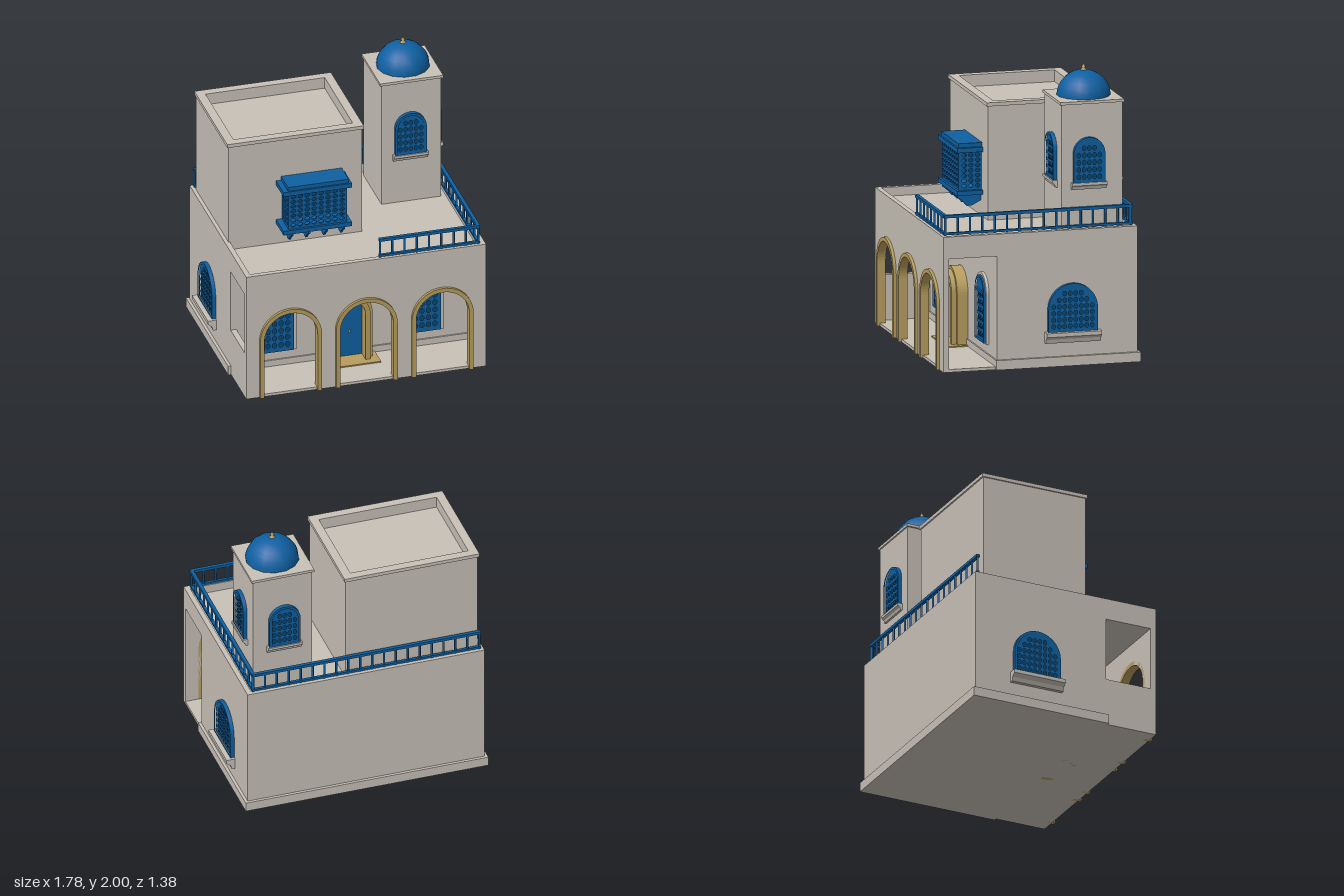
import * as THREE from 'three';

const plaster = new THREE.MeshStandardMaterial({ name: 'plaster', color: 0xc8c1b8 });
const blue = new THREE.MeshStandardMaterial({ name: 'bluePaint', color: 0x0f60a2 });
const deepBlue = new THREE.MeshStandardMaterial({ name: 'deepBlue', color: 0x0b456f });
const gold = new THREE.MeshStandardMaterial({ name: 'sandstone', color: 0xb89e5e });

function add(parent, name, geometry, material) {
  const mesh = new THREE.Mesh(geometry, material);
  mesh.name = name;
  parent.add(mesh);
  return mesh;
}

// Box given by its limits on each axis
function box(parent, name, mat, x0, x1, y0, y1, z0, z1) {
  const g = new THREE.BoxGeometry(x1 - x0, y1 - y0, z1 - z0);
  g.translate((x0 + x1) / 2, (y0 + y1) / 2, (z0 + z1) / 2);
  return add(parent, name, g, mat);
}

// Shape in the xy plane, thickened from z0 to z1
function plate(parent, name, mat, shape, z0, z1) {
  const g = new THREE.ExtrudeGeometry(shape, { depth: z1 - z0, bevelEnabled: false, curveSegments: 14 });
  g.translate(0, 0, z0);
  return add(parent, name, g, mat);
}

// Side profile (outward, up) stretched along x about cx
function molding(parent, name, mat, points, cx, width) {
  const shape = new THREE.Shape(points.map(p => new THREE.Vector2(...p)));
  const g = new THREE.ExtrudeGeometry(shape, { depth: width, bevelEnabled: false });
  g.translate(0, 0, -width / 2).rotateY(-Math.PI / 2).translate(cx, 0, 0);
  return add(parent, name, g, mat);
}

function arch(path, cx, y0, r, spring) {
  path.moveTo(cx - r, y0);
  path.lineTo(cx - r, spring);
  path.absarc(cx, spring, r, Math.PI, 0, true);
  path.lineTo(cx + r, y0);
  path.closePath();
  return path;
}

// Arch band with open foot
function archBand(cx, y0, ro, ri, spring) {
  const s = new THREE.Shape();
  s.moveTo(cx - ro, y0);
  s.lineTo(cx - ro, spring);
  s.absarc(cx, spring, ro, Math.PI, 0, true);
  s.lineTo(cx + ro, y0);
  s.lineTo(cx + ri, y0);
  s.lineTo(cx + ri, spring);
  s.absarc(cx, spring, ri, 0, Math.PI, false);
  s.lineTo(cx - ri, y0);
  s.closePath();
  return s;
}

function rectPath(path, x0, x1, y0, y1) {
  path.moveTo(x0, y0);
  path.lineTo(x1, y0);
  path.lineTo(x1, y1);
  path.lineTo(x0, y1);
  path.closePath();
  return path;
}

// Horizontal rectangular ring, for parapets and rims
function ring(parent, name, x0, x1, z0, z1, border, y0, y1) {
  const s = rectPath(new THREE.Shape(), x0, x1, -z1, -z0);
  s.holes.push(rectPath(new THREE.Path(), x0 + border, x1 - border, -z1 + border, -z0 - border));
  const g = new THREE.ExtrudeGeometry(s, { depth: y1 - y0, bevelEnabled: false });
  g.rotateX(-Math.PI / 2).translate(0, y0, 0);
  return add(parent, name, g, plaster);
}

// Cut a grid of oval holes into a shape, wherever "fits" allows
function pierce(shape, x0, x1, y0, y1, cols, rows, fits = () => true) {
  const dx = (x1 - x0) / cols, dy = (y1 - y0) / rows;
  for (let i = 0; i < cols; i++) for (let j = 0; j < rows; j++) {
    const x = x0 + (i + 0.5) * dx, y = y0 + (j + 0.5) * dy;
    if (!fits(x, y, dx, dy)) continue;
    const hole = new THREE.Path();
    for (let k = 0; k < 8; k++) {
      const a = -k * Math.PI / 4 + Math.PI / 8;
      hole[k ? 'lineTo' : 'moveTo'](x + Math.cos(a) * dx * 0.36, y + Math.sin(a) * dy * 0.36);
    }
    hole.closePath();
    shape.holes.push(hole);
  }
  return shape;
}

// Arched lattice window facing +z with its foot at the origin
function archWindow(parent, name, o) {
  const w = new THREE.Group();
  w.name = name;
  const { r, h, cols, rows, top = h, sill } = o, spring = h - r, t = 0.018;
  const frame = arch(new THREE.Shape(), 0, 0, r, spring);
  frame.holes.push(arch(new THREE.Path(), 0, t, r - t, spring));
  plate(w, 'windowFrame', blue, frame, -0.005, 0.027);
  plate(w, 'windowBacking', deepBlue, arch(new THREE.Shape(), 0, 0, r, spring), -0.004, 0.004);
  const fits = (x, y, dx, dy) =>
    y < spring || Math.hypot(Math.abs(x) + dx * 0.36, y + dy * 0.36 - spring) < r - t;
  const grille = pierce(arch(new THREE.Shape(), 0, t / 2, r - t / 2, spring), -r + t, r - t, t, top, cols, rows, fits);
  plate(w, 'lattice', blue, grille, 0.006, 0.018);
  if (sill) {
    const d = sill.depth, k = sill.height;
    molding(w, 'windowSill', plaster,
      [[-0.005, -k], [d * 0.4, -k], [d * 0.55, -k * 0.6], [d, -k * 0.3], [d, 0.005], [-0.005, 0.005]], 0, sill.width);
  }
  w.position.set(...o.at);
  w.rotation.y = o.turn || 0;
  parent.add(w);
  return w;
}

// Railing between two points at parapet level
function railing(parent, name, x0, z0, x1, z1) {
  const g = new THREE.Group();
  g.name = name;
  const length = Math.hypot(x1 - x0, z1 - z0), n = Math.round(length / 0.085);
  box(g, 'topRail', blue, 0, length, 1.04, 1.06, -0.012, 0.012);
  box(g, 'bottomRail', blue, 0, length, 0.925, 0.94, -0.01, 0.01);
  for (let i = 0; i <= n; i++) {
    const post = add(g, 'baluster', new THREE.CylinderGeometry(0.008, 0.008, 0.13, 6), blue);
    post.position.set(0.008 + i * (length - 0.016) / n, 0.985, 0);
  }
  g.position.set(x0, 0, z0);
  g.rotation.y = -Math.atan2(z1 - z0, x1 - x0);
  parent.add(g);
}

export function createModel() {
  const model = new THREE.Group();
  model.name = 'house';

  // Ground floor with an open porch
  box(model, 'groundFloor', plaster, -0.83, 0.83, 0, 0.86, -0.67, 0.3);
  box(model, 'plinth', plaster, -0.85, 0.85, 0, 0.065, -0.69, 0.31);
  box(model, 'porchFloor', plaster, -0.83, 0.83, 0, 0.02, 0.3, 0.65);
  box(model, 'porchCeiling', plaster, -0.83, 0.83, 0.77, 0.86, 0.3, 0.65);
  box(model, 'porchSideWall', plaster, -0.83, -0.79, 0, 0.33, 0.3, 0.65);
  ring(model, 'roofParapet', -0.83, 0.83, -0.67, 0.67, 0.035, 0.86, 0.92);
  const front = rectPath(new THREE.Shape(), -0.83, 0.83, 0, 0.86);
  for (const x of [-0.525, 0, 0.525]) {
    front.holes.push(arch(new THREE.Path(), x, 0.02, 0.186, 0.43));
    plate(model, 'archTrim', gold, archBand(x, 0, 0.213, 0.184, 0.428), 0.63, 0.69);
  }
  plate(model, 'frontWall', plaster, front, 0.63, 0.67);

  // Front door with stepped surround
  const dx = -0.035;
  plate(model, 'doorSurround', gold, archBand(dx, 0, 0.165, 0.13, 0.366), 0.29, 0.375);
  plate(model, 'doorFrame', gold, archBand(dx, 0, 0.142, 0.108, 0.37), 0.29, 0.408);
  plate(model, 'door', blue, arch(new THREE.Shape(), dx, 0.02, 0.11, 0.385), 0.29, 0.32);
  box(model, 'doorStep', gold, dx - 0.165, dx + 0.2, 0.005, 0.028, 0.3, 0.46);
  add(model, 'doorKnob', new THREE.SphereGeometry(0.008, 8, 6), gold).position.set(dx + 0.02, 0.21, 0.323);

  // Porch and side windows
  for (const s of [-1, 1]) {
    const x = s * 0.51;
    plate(model, 'windowSurround', plaster, archBand(x, 0.13, 0.13, 0.108, 0.468), 0.29, 0.32);
    archWindow(model, 'porchWindow', { r: 0.108, h: 0.445, top: 0.34, cols: 4, rows: 6, at: [x, 0.135, 0.305] });
    box(model, 'shutterHead', blue, x - 0.1, x + 0.1, 0.465, 0.48, 0.31, 0.337);
    archWindow(model, 'sideWindow', {
      r: 0.17, h: 0.33, cols: 8, rows: 7, at: [s * 0.83, 0.23, -0.22], turn: s * Math.PI / 2,
      sill: { depth: 0.06, height: 0.07, width: 0.38 },
    });
  }

  // Upper room with sunken roof
  box(model, 'upperRoom', plaster, -0.805, 0.12, 0.85, 1.58, -0.6, 0.16);
  ring(model, 'upperParapet', -0.805, 0.12, -0.6, 0.16, 0.05, 1.58, 1.635);
  ring(model, 'upperRim', -0.815, 0.13, -0.61, 0.17, 0.06, 1.635, 1.66);

  // Lattice bay on brackets
  const bay = new THREE.Group();
  bay.name = 'latticeBay';
  model.add(bay);
  box(bay, 'bayCap', blue, -0.44, -0.02, 1.33, 1.36, 0.16, 0.325);
  box(bay, 'bayCornice', blue, -0.475, 0, 1.3, 1.332, 0.16, 0.337);
  box(bay, 'bayBase', blue, -0.475, 0, 1.01, 1.04, 0.16, 0.337);
  box(bay, 'bayBack', deepBlue, -0.43, -0.04, 1.04, 1.3, 0.16, 0.165);
  const screen = pierce(rectPath(new THREE.Shape(), -0.435, -0.03, 1.04, 1.3), -0.425, -0.04, 1.05, 1.295, 8, 7);
  plate(bay, 'bayFrontScreen', blue, screen, 0.308, 0.32);
  for (const x of [-0.429, -0.036]) {
    const side = pierce(rectPath(new THREE.Shape(), -0.075, 0.075, 1.04, 1.3), -0.07, 0.07, 1.05, 1.295, 3, 7);
    const mesh = plate(bay, 'baySideScreen', blue, side, -0.006, 0.006);
    mesh.rotation.y = Math.PI / 2;
    mesh.position.set(x, 0, 0.235);
  }
  for (const x of [-0.41, -0.293, -0.17, -0.052]) {
    molding(bay, 'bayBracket', blue,
      [[0.16, 1.01], [0.16, 0.965], [0.225, 0.93], [0.26, 0.93], [0.29, 0.965], [0.325, 0.99], [0.325, 1.01]], x, 0.015);
  }

  // Corner tower with dome
  box(model, 'tower', plaster, 0.35, 0.763, 0.85, 1.76, -0.585, -0.165);
  box(model, 'towerCornice', plaster, 0.338, 0.775, 1.756, 1.775, -0.595, -0.155);
  const dome = add(model, 'dome', new THREE.SphereGeometry(0.18, 14, 8, 0, Math.PI * 2, 0, Math.PI / 2), blue);
  dome.scale.y = 0.95;
  dome.position.set(0.56, 1.774, -0.375);
  const finial = [[0.022, 0], [0.018, 0.012], [0.01, 0.018], [0.014, 0.028], [0.006, 0.04], [0, 0.062]];
  add(model, 'finial', new THREE.LatheGeometry(finial.map(p => new THREE.Vector2(...p)), 10), gold)
    .position.set(0.56, 1.938, -0.375);
  const towerFaces = [
    [[0.548, 1.22, -0.165], 0],
    [[0.763, 1.22, -0.352], Math.PI / 2],
    [[0.548, 1.22, -0.585], Math.PI],
  ];
  for (const [at, turn] of towerFaces) {
    archWindow(model, 'towerWindow', {
      r: 0.108, h: 0.31, cols: 5, rows: 6, at, turn, sill: { depth: 0.035, height: 0.042, width: 0.24 },
    });
  }

  // Terrace railings
  railing(model, 'frontRailing', 0.095, 0.645, 0.79, 0.645);
  railing(model, 'sideRailing', 0.782, 0.65, 0.782, -0.64);
  railing(model, 'backRailing', -0.81, -0.64, 0.79, -0.64);

  return model;
}
